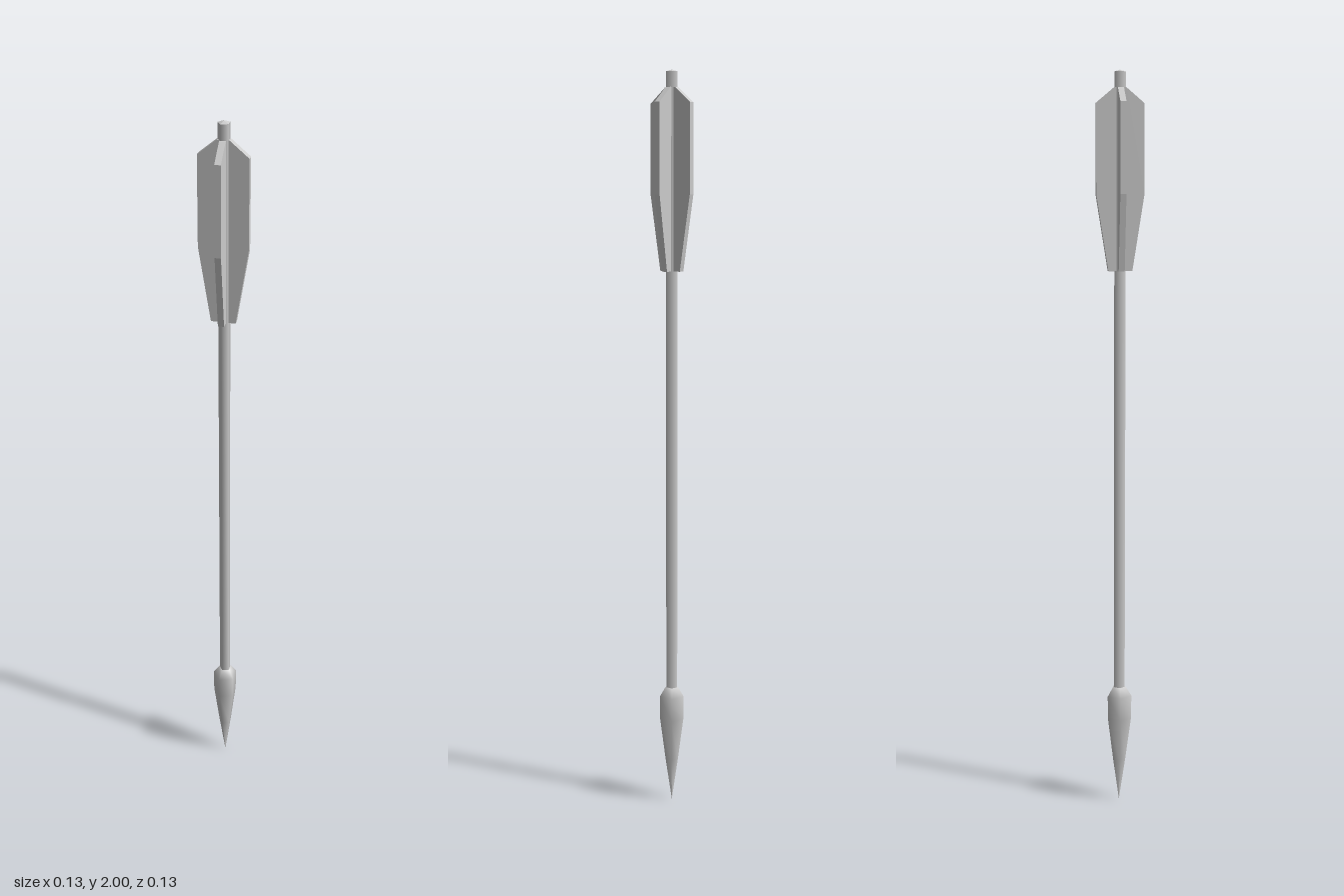
import * as THREE from 'three';

const SIDES = 5;

// Five-sided turned part, following the slight lean of the shaft
function turned(name, profile, material) {
  const points = profile.map(([r, y]) => new THREE.Vector2(r, y));
  const geometry = new THREE.LatheGeometry(points, SIDES, -Math.PI / 2);
  const p = geometry.attributes.position;
  for (let i = 0; i < p.count; i++) {
    const lean = 0.004 * (1 - p.getY(i) / 2);
    p.setX(i, p.getX(i) + lean);
    p.setZ(i, p.getZ(i) - lean * 0.7);
  }
  geometry.computeBoundingSphere();
  const mesh = new THREE.Mesh(geometry, material);
  mesh.name = name;
  return mesh;
}

export function createModel() {
  const group = new THREE.Group();
  group.name = 'arrow';
  const smooth = new THREE.MeshStandardMaterial({ color: 0xcccccc });
  const flat = new THREE.MeshStandardMaterial({ color: 0xcccccc, flatShading: true });

  // Pointed head with a short shoulder
  group.add(turned('head', [
    [0, 0], [0.018, 0.12], [0.034, 0.24], [0.035, 0.305], [0.019, 0.33], [0, 0.33],
  ], smooth));

  // Shaft and its capped end
  group.add(turned('shaft', [[0.016, 0.32], [0.016, 1.995]], smooth));
  group.add(turned('nockCap', [[0.016, 1.995], [0, 2]], flat));

  // Four fletching vanes around the shaft
  const vane = new THREE.Shape([
    [0, 1.48], [0.032, 1.48], [0.064, 1.68], [0.064, 1.915], [0.016, 1.955], [0, 1.955],
  ].map(([x, y]) => new THREE.Vector2(x, y)));
  const thickness = 0.016;
  const vaneGeometry = new THREE.ExtrudeGeometry(vane, { depth: thickness, bevelEnabled: false });
  vaneGeometry.translate(0, 0, -thickness / 2);
  for (let i = 0; i < 4; i++) {
    const mesh = new THREE.Mesh(vaneGeometry, flat);
    mesh.name = `vane${i + 1}`;
    mesh.rotation.y = i * Math.PI / 2;
    group.add(mesh);
  }
  return group;
}
